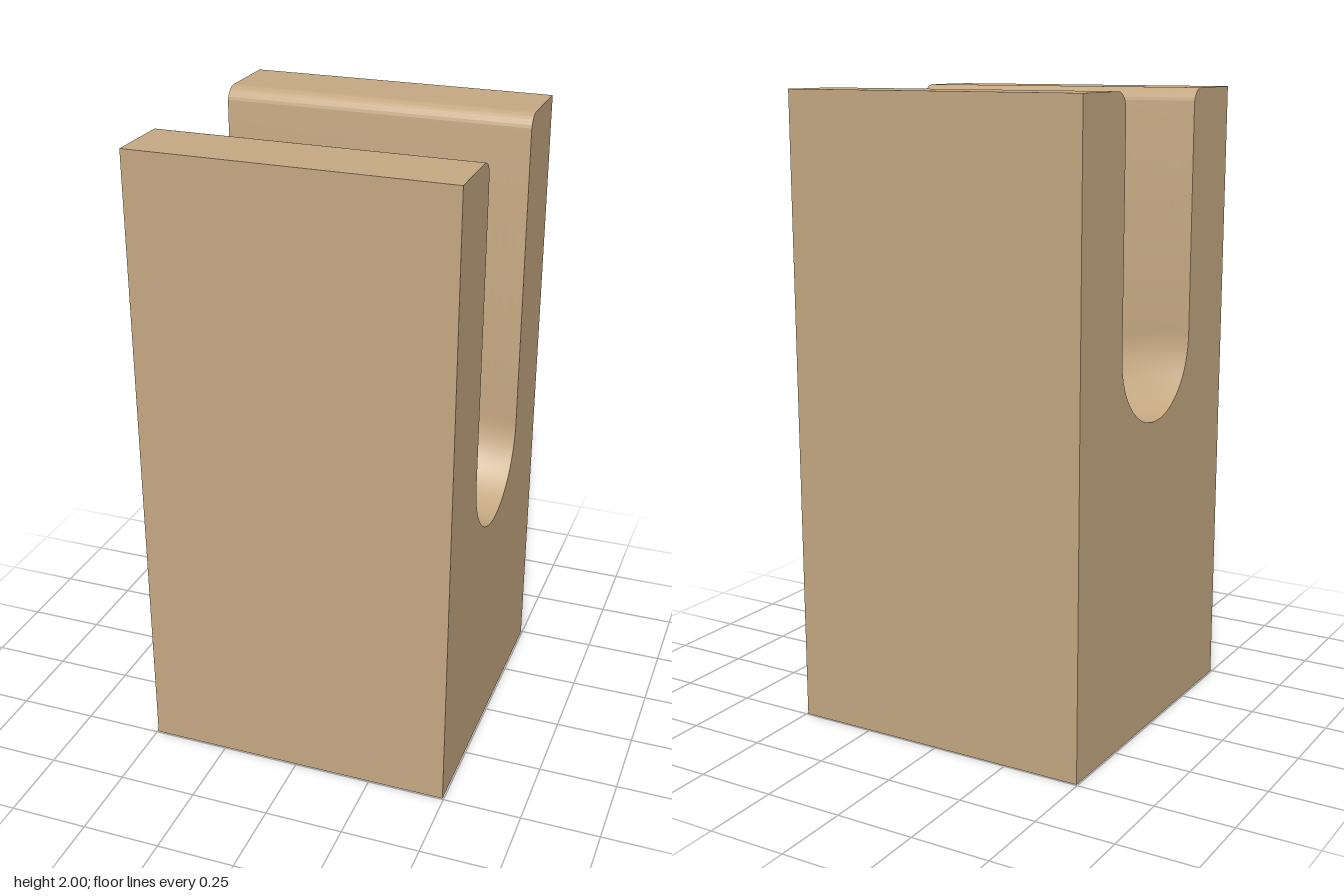
import * as THREE from 'three';
import { toCreasedNormals } from 'three/addons/utils/BufferGeometryUtils.js';

const HALF = 0.496;      // half width and depth of the block
const HEIGHT = 2;
const SLOT = 0.236;      // half width (and floor radius) of the slot
const FILLET = 0.05;     // rounding of the slot's upper lips
const LOW = 0.75;        // slot floor at the +x end
const RISE = 0.25;       // the floor climbs this much towards -x

export function createModel() {
  const tan = new THREE.MeshStandardMaterial({ color: 0xc4a882 });
  tan.name = 'tan';

  // U-shaped side profile
  const axis = LOW + SLOT;
  const profile = new THREE.Shape();
  profile.moveTo(-HALF, 0);
  profile.lineTo(HALF, 0);
  profile.lineTo(HALF, HEIGHT);
  profile.lineTo(SLOT + FILLET, HEIGHT);
  profile.absarc(SLOT + FILLET, HEIGHT - FILLET, FILLET, Math.PI / 2, Math.PI, false);
  profile.lineTo(SLOT, axis);
  profile.absarc(0, axis, SLOT, 0, -Math.PI, true);
  profile.lineTo(-SLOT, HEIGHT - FILLET);
  profile.absarc(-SLOT - FILLET, HEIGHT - FILLET, FILLET, 0, Math.PI / 2, false);
  profile.lineTo(-HALF, HEIGHT);
  profile.closePath();

  let geometry = new THREE.ExtrudeGeometry(profile, {
    depth: HALF * 2, steps: 32, curveSegments: 28, bevelEnabled: false,
  });
  geometry.translate(0, 0, -HALF);
  geometry.rotateY(Math.PI / 2);

  // Lift the rounded slot floor along a smooth S-curve from +x to -x
  const p = geometry.attributes.position;
  for (let i = 0; i < p.count; i++) {
    const inFloor = Math.abs(p.getZ(i)) < SLOT + 0.001 && p.getY(i) > 0.5 && p.getY(i) < axis + 0.001;
    if (!inFloor) continue;
    const t = (HALF - p.getX(i)) / (2 * HALF);
    p.setY(i, p.getY(i) + RISE * (1 - Math.cos(Math.PI * t)) / 2);
  }
  geometry = toCreasedNormals(geometry, 0.6);

  const block = new THREE.Mesh(geometry, tan);
  block.name = 'slottedBlock';
  const group = new THREE.Group();
  group.name = 'slottedPost';
  group.add(block);
  return group;
}
